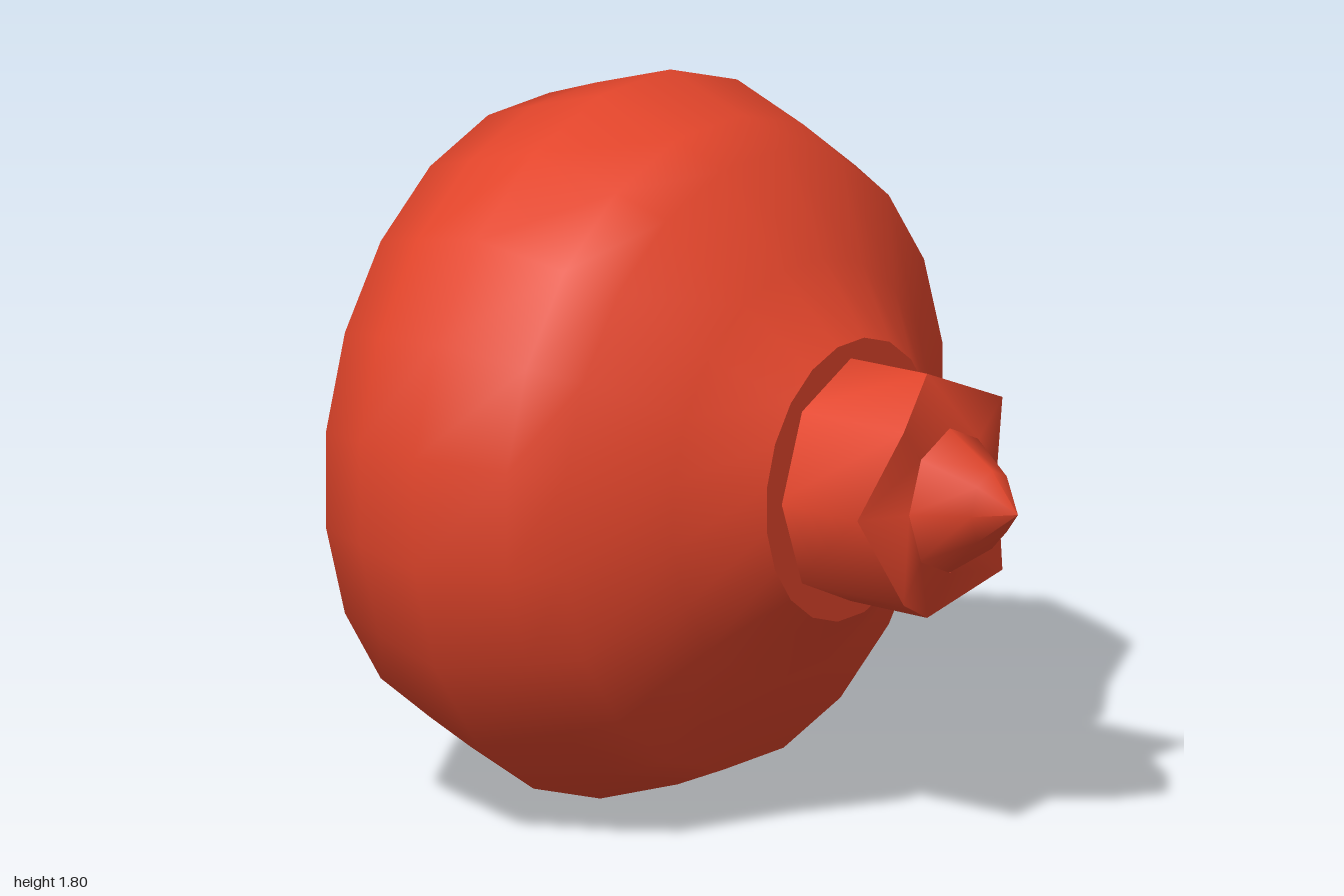
import * as THREE from 'three';

const CENTER_Y = 0.9;
const RED = 0xe2452b;

// Polar radius of a unit polygon (apothem 1) at angle a, with a flat side facing +x
function flatSided(a, sides) {
  const step = (Math.PI * 2) / sides;
  const d = a - Math.round(a / step) * step;
  return 1 / Math.cos(d);
}

// Skin cross-sections running from back to front.
// ring: [z, half width, half height, polygon sides (0 = follow the segments), alternating z shift]
function loft(name, rings, segments, phase = 0) {
  const pos = [], index = [];
  rings.forEach(([z, rx, ry, sides = 0, zig = 0]) => {
    for (let j = 0; j < segments; j++) {
      const a = phase + (j / segments) * Math.PI * 2;
      const k = sides ? flatSided(a, sides) : 1;
      pos.push(Math.cos(a) * rx * k, CENTER_Y + Math.sin(a) * ry * k, z + (j % 2 ? zig : -zig));
    }
  });
  for (let i = 0; i < rings.length - 1; i++) {
    for (let j = 0; j < segments; j++) {
      const n = (j + 1) % segments;
      const a = i * segments + j, b = i * segments + n;
      index.push(a, b, a + segments, b, b + segments, a + segments);
    }
  }
  const geo = new THREE.BufferGeometry();
  geo.setAttribute('position', new THREE.Float32BufferAttribute(pos, 3));
  geo.setIndex(index);
  geo.computeVertexNormals();
  const mat = new THREE.MeshStandardMaterial({ color: RED, side: THREE.DoubleSide });
  const mesh = new THREE.Mesh(geo, mat);
  mesh.name = name;
  return mesh;
}

export function createModel() {
  const group = new THREE.Group();
  group.name = 'bulb';
  const phase = Math.PI / 20;

  // Round body, tapering to a small square stub at the back
  group.add(loft('body', [
    [-1, 0.08, 0.09, 4],
    [-0.8, 0.22, 0.24, 8],
    [-0.715, 0.52, 0.52],
    [-0.54, 0.79, 0.79],
    [-0.4, 0.84, 0.84],
    [-0.18, 0.91, 0.91],
    [0.05, 0.835, 0.835],
    [0.185, 0.775, 0.775],
    [0.335, 0.53, 0.53],
    [0.485, 0.345, 0.355],
  ], 20, phase));

  // Shallow pit in the end of the stub
  group.add(loft('rearPit', [
    [-0.96, 0, 0],
    [-1, 0.08, 0.09, 4],
  ], 20, phase));

  // Flat shoulder where the body meets the nozzle
  group.add(loft('shoulder', [
    [0.485, 0.345, 0.355],
    [0.485, 0.2, 0.2],
  ], 20, phase));

  // Eight-sided nozzle with a zigzag rim
  group.add(loft('nozzle', [
    [0.46, 0.28, 0.31],
    [0.76, 0.283, 0.312, 0, 0.04],
  ], 8));

  // Nozzle face
  group.add(loft('nozzleFace', [
    [0.76, 0.283, 0.312, 0, 0.04],
    [0.79, 0.165, 0.185],
  ], 8));

  // Pointed tip
  group.add(loft('tip', [
    [0.78, 0.17, 0.19],
    [0.92, 0.085, 0.1],
    [1, 0, 0],
  ], 8));

  return group;
}
